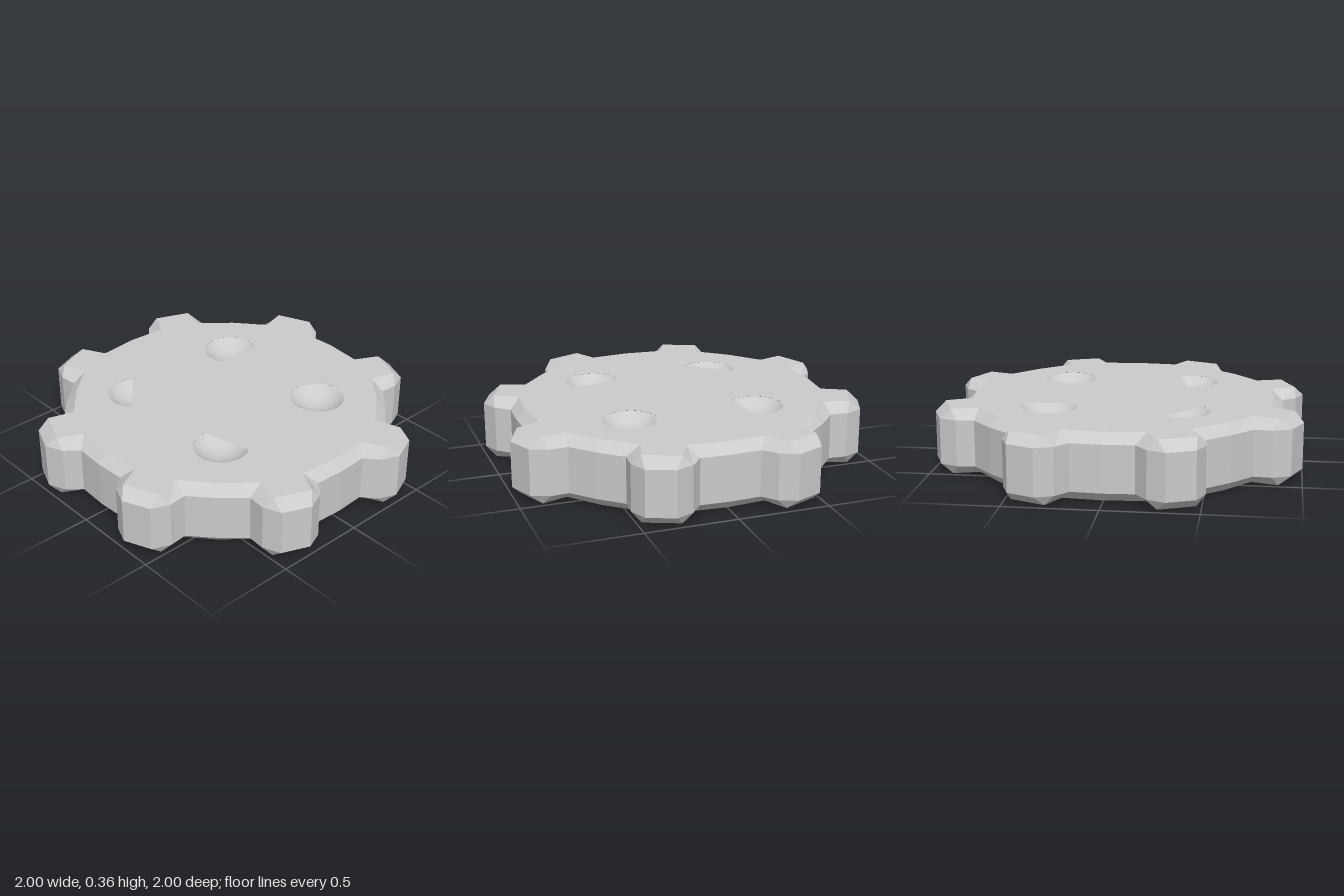
import * as THREE from 'three';

const material = new THREE.MeshStandardMaterial({ color: 0xcccccc, flatShading: true });
const smooth = new THREE.MeshStandardMaterial({ color: 0xcccccc });

const HEIGHT = 0.36, BEVEL = 0.053, TEETH = 8;
const BOWL_RADIUS = 0.148, BOWL_DEPTH = 0.06, BOWL_SEGMENTS = 48;

// One tooth as [along, across]; the wall outline and the face outline match point by point.
// Tip and shoulder share a corner on the face.
const wallHalf = [[0.88, 0.185], [0.975, 0.155], [1.05, 0.08]];
const faceHalf = [[0.842, 0.115], [0.988, 0.102], [0.988, 0.102]];

// Repeat the mirrored tooth around the centre, with one point in each valley.
function outline(half, valley) {
  const points = [];
  const tooth = [
    ...half.map(([u, v]) => [u, -v]),
    ...half.slice().reverse(),
  ];
  const centre = new THREE.Vector2();
  for (let i = 0; i < TEETH; i++) {
    const angle = (i + 0.5) * Math.PI * 2 / TEETH;
    const root = angle - Math.PI / TEETH;
    points.push(new THREE.Vector2(valley * Math.cos(root), valley * Math.sin(root)));
    for (const [u, v] of tooth) points.push(new THREE.Vector2(u, v).rotateAround(centre, angle));
  }
  return points;
}

// Band of flat faces between stacked outlines, listed from bottom to top.
function bandGeometry(rings) {
  const positions = [];
  const at = (ring, i) => {
    const p = ring.points[i % ring.points.length];
    return new THREE.Vector3(p.x, ring.y, -p.y);
  };
  const triangle = (a, b, c) => {
    if (a.distanceTo(b) < 1e-6 || b.distanceTo(c) < 1e-6 || c.distanceTo(a) < 1e-6) return;
    for (const p of [a, b, c]) positions.push(p.x, p.y, p.z);
  };
  for (let r = 0; r < rings.length - 1; r++) {
    for (let i = 0; i < rings[r].points.length; i++) {
      const a = at(rings[r], i), b = at(rings[r], i + 1);
      const c = at(rings[r + 1], i + 1), d = at(rings[r + 1], i);
      triangle(a, b, c);
      triangle(a, c, d);
    }
  }
  const geometry = new THREE.BufferGeometry();
  geometry.setAttribute('position', new THREE.Float32BufferAttribute(positions, 3));
  geometry.computeVertexNormals();
  return geometry;
}

// Circular opening cut off by a straight chord: normal (nx, nz), distance from the centre.
function opening({ x, z, nx, nz, cut }) {
  const points = [];
  for (let i = 0; i < BOWL_SEGMENTS; i++) {
    const a = i * Math.PI * 2 / BOWL_SEGMENTS;
    let px = BOWL_RADIUS * Math.cos(a), pz = BOWL_RADIUS * Math.sin(a);
    const over = Math.max(0, px * nx + pz * nz - cut);
    px -= over * nx;
    pz -= over * nz;
    points.push(new THREE.Vector2(x + px, -(z + pz)));
  }
  return new THREE.Path(points);
}

function bowlGeometry() {
  // Spherical cap, profile running from rim to centre so it faces up
  const sphere = (BOWL_RADIUS ** 2 + BOWL_DEPTH ** 2) / (2 * BOWL_DEPTH);
  const span = Math.asin(BOWL_RADIUS / sphere);
  const profile = [];
  for (let i = 0; i <= 8; i++) {
    const a = span * (1 - i / 8);
    profile.push(new THREE.Vector2(sphere * Math.sin(a), sphere - BOWL_DEPTH - sphere * Math.cos(a)));
  }
  return new THREE.LatheGeometry(profile, BOWL_SEGMENTS);
}

export function createModel() {
  const group = new THREE.Group();
  group.name = 'toothedDisc';
  const add = (name, geometry, mat = material) => {
    const mesh = new THREE.Mesh(geometry, mat);
    mesh.name = name;
    group.add(mesh);
    return mesh;
  };

  const wall = outline(wallHalf, 0.893);
  const face = outline(faceHalf, 0.84);

  // Toothed wall with a bevel above and below
  add('toothedRim', bandGeometry([
    { points: face, y: 0 },
    { points: wall, y: BEVEL },
    { points: wall, y: HEIGHT - BEVEL },
    { points: face, y: HEIGHT },
  ]));

  // Face corners without the repeated tip points
  const corners = face.filter((p, i) => p.distanceTo(face[(i + 1) % face.length]) > 1e-6);

  // Flat underside
  const bottom = new THREE.ShapeGeometry(new THREE.Shape(corners));
  add('bottomFace', bottom.rotateX(Math.PI / 2));

  // Top face with four partly covered dimples
  const dimples = [
    { x: -0.36, z: -0.36, nx: 0.778, nz: 0.628, cut: -0.016 },
    { x: 0.36, z: -0.36, nx: 0.045, nz: 0.999, cut: 0.082 },
    { x: -0.36, z: 0.36, nx: 0.97, nz: -0.243, cut: 0.054 },
    { x: 0.36, z: 0.36, nx: 0.447, nz: -0.894, cut: 0.136 },
  ];
  const topShape = new THREE.Shape(corners);
  topShape.holes = dimples.map(opening);
  add('topFace', new THREE.ShapeGeometry(topShape).rotateX(-Math.PI / 2)).position.y = HEIGHT;

  const bowl = bowlGeometry();
  for (const { x, z } of dimples) add('dimple', bowl, smooth).position.set(x, HEIGHT - 0.0005, z);

  return group;
}
